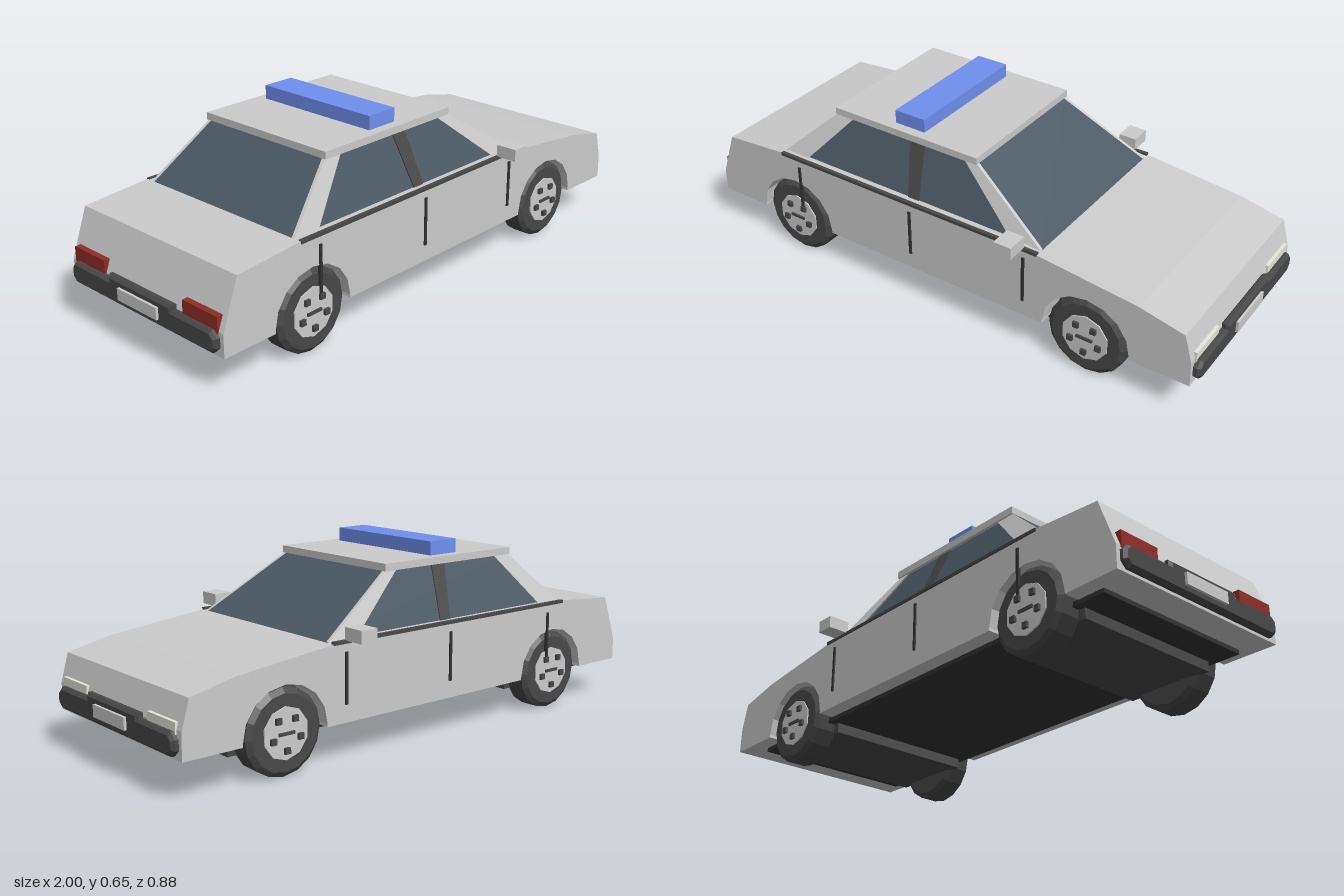
import * as THREE from 'three';

const mat = (color) => new THREE.MeshStandardMaterial({ color, flatShading: true });
const grey = mat(0xcccccc);
const dark = mat(0x484848);
const black = mat(0x333333);
const glass = mat(0x4c5a64);
const blue = mat(0x7090f0);
const red = mat(0x902c26);
const lamp = mat(0xe6e8dc);

const WHEELS = [-0.61, 0.6];
const AXLE_Y = 0.142;

function add(parent, name, geometry, material) {
  const mesh = new THREE.Mesh(geometry, material);
  mesh.name = name;
  parent.add(mesh);
  return mesh;
}

// Box given by its limits on each axis
function box(parent, name, material, [x0, x1], [y0, y1], [z0, z1]) {
  const g = new THREE.BoxGeometry(x1 - x0, y1 - y0, z1 - z0);
  g.translate((x0 + x1) / 2, (y0 + y1) / 2, (z0 + z1) / 2);
  return add(parent, name, g, material);
}

const toShape = (pts) => new THREE.Shape(pts.map(([x, y]) => new THREE.Vector2(x, y)));

// Lower body: side profile with open wheel arches
function bodyGeometry() {
  const pts = [[-0.97, 0.13]];
  for (const cx of WHEELS) {
    pts.push([cx - 0.16, 0.13]);
    for (let i = 0; i <= 8; i++) {
      const a = Math.PI * (1 - i / 8);
      pts.push([cx + 0.16 * Math.cos(a), 0.14 + 0.155 * Math.sin(a)]);
    }
    pts.push([cx + 0.16, 0.13]);
  }
  pts.push([0.97, 0.13], [0.967, 0.22], [0.94, 0.315], [0.78, 0.35], [0.41, 0.39],
    [0.35, 0.395], [-0.65, 0.395], [-0.91, 0.375], [-0.97, 0.21]);
  const g = new THREE.ExtrudeGeometry(toShape(pts), { depth: 0.73, bevelEnabled: false });
  return g.translate(0, 0, -0.365);
}

// Tapered cabin: a box whose top and bottom outlines differ
function cabinGeometry() {
  const g = new THREE.BoxGeometry(2, 1, 2);
  const p = g.attributes.position;
  for (let i = 0; i < p.count; i++) {
    const top = p.getY(i) > 0, front = p.getX(i) > 0;
    const x = front ? (top ? 0.12 : 0.415) : (top ? -0.46 : -0.665);
    p.setXYZ(i, x, top ? 0.577 : 0.39, p.getZ(i) * (top ? 0.265 : 0.335));
  }
  g.computeVertexNormals();
  return g;
}

// Thin panel lying on the sloping side of the cabin
function sidePanel(pts, side, thickness) {
  const g = new THREE.ExtrudeGeometry(toShape(pts), { depth: thickness, bevelEnabled: false });
  const p = g.attributes.position;
  for (let i = 0; i < p.count; i++) {
    const slope = 0.335 - 0.07 * (p.getY(i) - 0.39) / 0.187;
    p.setZ(i, p.getZ(i) - thickness / 2 + side * slope);
  }
  g.computeVertexNormals();
  return g;
}

// Bumper: bevelled slab with chamfered corners
function bumperGeometry() {
  const pts = [[-0.325, 0.15], [0.325, 0.15], [0.34, 0.165], [0.34, 0.19], [0.325, 0.205],
    [0.145, 0.205], [0.145, 0.222], [-0.145, 0.222], [-0.145, 0.205], [-0.325, 0.205],
    [-0.34, 0.19], [-0.34, 0.165]];
  const g = new THREE.ExtrudeGeometry(toShape(pts), {
    depth: 0.012, bevelEnabled: true, bevelSize: 0.01, bevelThickness: 0.01, bevelSegments: 1,
  });
  return g.translate(0, 0, 0.969).rotateY(Math.PI / 2);
}

function makeWheel() {
  const wheel = new THREE.Group();
  const profile = [[0, -0.0475], [0.125, -0.0475], [0.142, -0.035], [0.142, 0.035],
    [0.125, 0.0475], [0, 0.0475]].map(([r, y]) => new THREE.Vector2(r, y));
  add(wheel, 'tyre', new THREE.LatheGeometry(profile, 16).rotateX(Math.PI / 2), dark);
  const hub = new THREE.CylinderGeometry(0.085, 0.085, 0.06, 10).rotateX(Math.PI / 2);
  add(wheel, 'hub', hub, grey).position.z = 0.022;
  box(wheel, 'hubBar', dark, [-0.03, 0.03], [-0.005, 0.005], [0.05, 0.058]);
  for (let i = 0; i < 5; i++) {
    const a = Math.PI / 2 + (i + 0.5) * Math.PI * 2 / 5;
    const bolt = add(wheel, 'wheelBolt', new THREE.BoxGeometry(0.02, 0.02, 0.012), dark);
    bolt.position.set(0.054 * Math.cos(a), 0.054 * Math.sin(a), 0.056);
  }
  return wheel;
}

export function createModel() {
  const car = new THREE.Group();
  car.name = 'car';

  add(car, 'body', bodyGeometry(), grey);
  box(car, 'underbody', black, [-0.87, 0.86], [0.115, 0.132], [-0.31, 0.31]);

  // Cabin, roof and light bar
  add(car, 'cabinGlass', cabinGeometry(), glass);
  box(car, 'roof', grey, [-0.465, 0.125], [0.575, 0.6], [-0.278, 0.278]);
  box(car, 'lightBar', blue, [-0.23, -0.11], [0.6, 0.648], [-0.242, 0.242]);

  // Axle housings and wheels
  for (const cx of WHEELS) {
    const name = cx > 0 ? 'front' : 'rear';
    box(car, name + 'AxleHousing', dark, [cx - 0.16, cx + 0.16], [0.08, 0.272], [-0.264, 0.264]);
    box(car, name + 'AxlePlate', dark, [cx - 0.16, cx + 0.16], [0.08, 0.125], [-0.283, 0.283]);
    for (const side of [-1, 1]) {
      const wheel = makeWheel();
      wheel.name = name + 'Wheel';
      wheel.position.set(cx, AXLE_Y, side * 0.3125);
      if (side < 0) wheel.rotation.y = Math.PI;
      car.add(wheel);
    }
  }

  // Parts repeated on both sides
  for (const s of [-1, 1]) {
    const span = (a, b) => (s > 0 ? [a, b] : [-b, -a]);
    add(car, 'windscreenPillar', sidePanel(
      [[0.3, 0.392], [0.414, 0.392], [0.12, 0.577], [0.07, 0.577]], s, 0.012), grey);
    add(car, 'rearPillar', sidePanel(
      [[-0.664, 0.392], [-0.56, 0.392], [-0.39, 0.577], [-0.46, 0.577]], s, 0.012), grey);
    add(car, 'middlePillar', sidePanel(
      [[-0.115, 0.392], [-0.07, 0.392], [-0.09, 0.577], [-0.15, 0.577]], s, 0.008), dark);
    box(car, 'beltTrim', dark, [-0.66, 0.415], [0.386, 0.397], span(0.355, 0.369));
    for (const x of [-0.58, -0.09, 0.365])
      box(car, 'doorGap', black, [x - 0.005, x + 0.005], [0.19, 0.36], span(0.36, 0.37));
    box(car, 'mirror', grey, [0.3, 0.365], [0.395, 0.438], span(0.36, 0.438));
    box(car, 'headlight', lamp, [0.93, 0.972], [0.205, 0.243], span(0.185, 0.338));
    box(car, 'tailLight', red, [-0.974, -0.93], [0.205, 0.26], span(0.19, 0.345));
  }

  // Bumpers and blank plates at both ends
  for (const name of ['front', 'rear']) {
    const end = new THREE.Group();
    end.name = name + 'End';
    add(end, 'bumper', bumperGeometry(), dark);
    box(end, 'plate', grey, [0.98, 1], [0.167, 0.208], [-0.095, 0.095]);
    if (name === 'rear') end.rotation.y = Math.PI;
    car.add(end);
  }
  return car;
}
